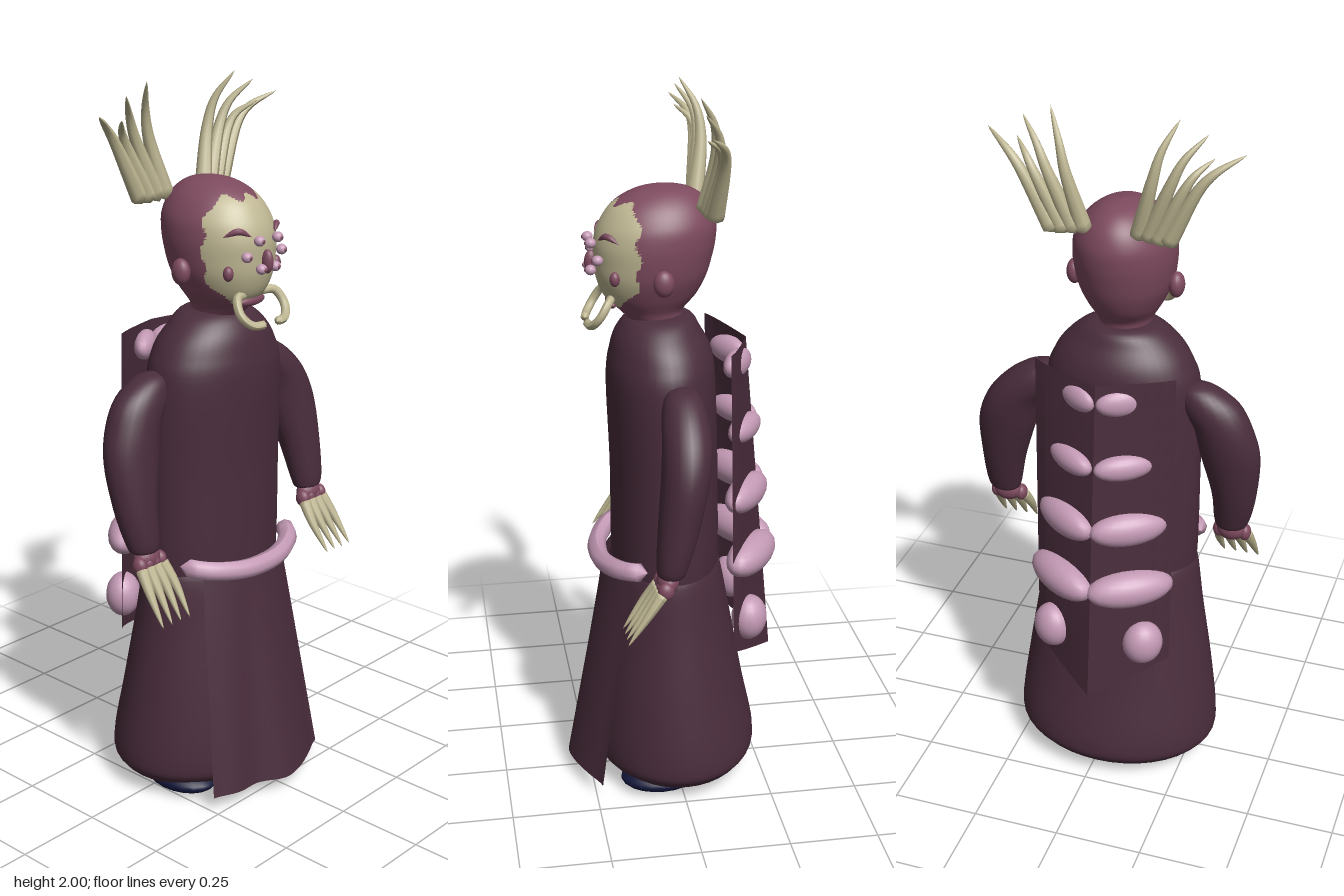
import * as THREE from 'three';
import { mergeVertices } from 'three/addons/utils/BufferGeometryUtils.js';

const mat = (name, color) => new THREE.MeshStandardMaterial({ name, color });
const V = (p) => new THREE.Vector3(...p);

export function createModel() {
  const robe = mat('darkRobe', 0x4a2d3c);
  robe.side = THREE.DoubleSide;
  const skin = mat('mauveSkin', 0x7d4a5e);
  const bone = mat('paleBone', 0xbfb793);
  const pink = mat('dustyPink', 0xc49ab5);
  const navy = mat('navyShoe', 0x12163a);

  const model = new THREE.Group();
  const figure = new THREE.Group();
  figure.name = 'figure';
  figure.position.x = -0.026;
  model.add(figure);

  const add = (name, geo, material) => {
    const mesh = new THREE.Mesh(geo, material);
    mesh.name = name;
    figure.add(mesh);
    return mesh;
  };

  // a grid whose vertices are placed by a rule of u (across) and v (down)
  const sheet = (nu, nv, rule) => {
    const g = new THREE.PlaneGeometry(1, 1, nu, nv);
    const p = g.attributes.position;
    for (let i = 0; i < p.count; i++) p.setXYZ(i, ...rule(p.getX(i) + 0.5, 0.5 - p.getY(i)));
    g.deleteAttribute('uv');
    g.deleteAttribute('normal');
    const m = mergeVertices(g, 1e-5);
    m.computeVertexNormals();
    return m;
  };

  // smooth skin over elliptical sections [y, rx, rz, cx, cz], listed top to bottom
  const loft = (rows, nu = 40, nv = 40) => {
    const a = new THREE.CatmullRomCurve3(rows.map((r) => V([r[1], r[0], r[2]])), false, 'catmullrom');
    const b = new THREE.CatmullRomCurve3(rows.map((r) => V([r[3], 0, r[4]])), false, 'catmullrom');
    return sheet(nu, nv, (u, v) => {
      const s = a.getPoint(v), c = b.getPoint(v), t = u * Math.PI * 2;
      return [c.x + Math.max(s.x, 0) * Math.sin(t), s.y, c.z + Math.max(s.z, 0) * Math.cos(t)];
    });
  };

  const ball = (name, material, pos, size, rot = [0, 0, 0]) => {
    const m = add(name, new THREE.SphereGeometry(1, 20, 14), material);
    m.position.set(...pos);
    m.scale.set(...size);
    m.rotation.set(...rot);
    return m;
  };

  // tube whose radius follows a profile along its length
  const taper = (name, material, pts, r, profile) => {
    const n = 20, k = 8, curve = new THREE.CatmullRomCurve3(pts.map(V));
    const g = new THREE.TubeGeometry(curve, n, r, k);
    const p = g.attributes.position, q = new THREE.Vector3();
    for (let i = 0; i < p.count; i++) {
      const t = Math.floor(i / (k + 1)) / n, c = curve.getPointAt(t);
      q.fromBufferAttribute(p, i).sub(c).multiplyScalar(profile(t)).add(c);
      p.setXYZ(i, q.x, q.y, q.z);
    }
    g.computeVertexNormals();
    return add(name, g, material);
  };
  const spike = (t) => (t === 0 ? 0 : Math.pow(1 - t, 0.65));
  const rounded = (t) => (t === 0 || t === 1 ? 0 : 1);

  // torso and skirt
  add('torso', loft([
    [1.395, 0, 0, 0, 0.03], [1.39, 0.09, 0.08, 0, 0.03], [1.35, 0.15, 0.115, 0, 0.035],
    [1.29, 0.195, 0.14, 0, 0.03], [1.2, 0.22, 0.15, 0, 0.03], [0.95, 0.225, 0.15, 0, 0.022],
    [0.66, 0.222, 0.15, 0, 0.02], [0.62, 0.2, 0.13, 0, 0.02]]), robe);
  add('skirt', loft([
    [0.68, 0.2, 0.13, 0, 0.02], [0.66, 0.225, 0.155, 0, 0.02], [0.5, 0.247, 0.182, 0, 0.015],
    [0.3, 0.278, 0.212, 0, 0.008], [0.12, 0.3, 0.238, 0, -0.003], [0.06, 0.285, 0.225, 0, -0.003],
    [0.03, 0.22, 0.17, 0, -0.003], [0.03, 0, 0, 0, 0]]), robe);

  // apron hanging in front with a wavy hem
  const hem = new THREE.SplineCurve([0.235, 0.265, 0.27, 0.31, 0.3, 0.27, 0.235].map((z, i) => new THREE.Vector2(i, z)));
  add('apron', sheet(24, 12, (u, v) => {
    const s = u * 2 - 1, top = 0.195 - 0.055 * s * s;
    return [s * (0.165 + 0.06 * v), 0.67 - 0.625 * v, top + (hem.getPoint(u).y - top) * v];
  }), robe);

  // belt roll
  taper('belt', pink, [[-0.215, 0.71, 0.1], [-0.17, 0.7, 0.16], [-0.08, 0.688, 0.203],
    [0, 0.685, 0.212], [0.08, 0.688, 0.203], [0.17, 0.7, 0.16], [0.215, 0.71, 0.1]], 0.027, rounded);

  // ridged back cape
  add('cape', sheet(12, 12, (u, v) => {
    const s = 1 - u * 2, a = Math.abs(s), ridge = -0.21 - 0.085 * v, edge = -0.13 - 0.02 * v;
    return [s * 0.197, 1.31 + 0.012 * a - (0.96 - 0.07 * a) * v, edge + (ridge - edge) * Math.pow(1 - a, 0.85)];
  }).toNonIndexed(), robe).geometry.computeVertexNormals();

  // rib-like lumps on the cape: [y, x, z, halfLength, halfHeight, halfDepth]
  [[1.255, 0.06, -0.175, 0.07, 0.04, 0.03], [1.07, 0.075, -0.195, 0.085, 0.038, 0.034],
    [0.88, 0.09, -0.2, 0.11, 0.05, 0.045], [0.695, 0.1, -0.215, 0.125, 0.054, 0.055],
    [0.51, 0.135, -0.205, 0.058, 0.066, 0.05]].forEach(([y, x, z, l, h, d]) => {
    for (const s of [-1, 1]) ball('capeLump', pink, [s * x, y, z], [l, h, d], [0, -s * 0.6, 0]);
  });

  // shoes
  for (const s of [-1, 1]) ball('shoe', navy, [s * 0.172, 0.035, 0.06], [0.082, 0.035, 0.115]);

  // arms, hands and claws; the left arm swings out a little further
  for (const s of [-1, 1]) {
    const e = s > 0 ? 1 : 0;
    const wrist = 0.312 + 0.06 * e;
    const arm = [
      [1.25, 0, 0, 0.22, 0.005], [1.235, 0.05, 0.04, 0.225, 0.005], [1.19, 0.085, 0.06, 0.255, 0.005],
      [1.12, 0.083, 0.066, 0.293 + 0.02 * e, 0.008], [1.03, 0.084, 0.064, 0.313 + 0.03 * e, 0.018],
      [0.9, 0.064, 0.055, 0.323 + 0.043 * e, 0.04], [0.8, 0.05, 0.042, wrist + 0.003, 0.058],
      [0.775, 0.035, 0.03, wrist, 0.06], [0.77, 0, 0, wrist, 0.06]];
    add(e ? 'leftArm' : 'rightArm', loft(arm.map(([y, rx, rz, cx, cz]) => [y, rx, rz, s * cx, cz]), 24, 32), robe);
    ball('palm', skin, [s * wrist, 0.76, 0.07], [0.042, 0.035, 0.03]);
    for (let i = 0; i < 4; i++) {
      const k = i - 1.5, x = wrist + k * 0.025;
      ball('knuckle', skin, [s * x, 0.748, 0.08], [0.018, 0.025, 0.022]);
      taper('claw', bone, [[s * x, 0.745, 0.085], [s * (x + k * 0.007), 0.69, 0.125],
        [s * (x + k * 0.009 + 0.006), 0.605, 0.185]], 0.018, spike);
    }
  }

  // head: skin and a pale face area share one surface
  const head = loft([
    [1.75, 0, 0, 0, 0.02], [1.735, 0.055, 0.075, 0, 0.022], [1.7, 0.1, 0.128, 0, 0.03],
    [1.65, 0.13, 0.157, 0, 0.037], [1.6, 0.138, 0.165, 0, 0.045], [1.55, 0.135, 0.16, 0, 0.05],
    [1.5, 0.125, 0.15, 0, 0.055], [1.45, 0.103, 0.127, 0, 0.058], [1.41, 0.08, 0.09, 0, 0.055],
    [1.37, 0.06, 0.06, 0, 0.04], [1.36, 0, 0, 0, 0.04]], 96, 96);
  const pos = head.attributes.position, idx = head.index.array, parts = [[], []];
  for (let i = 0; i < idx.length; i += 3) {
    const tri = [idx[i], idx[i + 1], idx[i + 2]];
    const mean = (get) => tri.reduce((sum, j) => sum + pos[get](j), 0) / 3;
    const x = mean('getX'), y = mean('getY'), z = mean('getZ');
    const hairline = 1.705 + 0.009 * Math.cos(x * 110);
    const side = 0.105 + 0.008 * Math.sin(y * 75) + Math.max(0, 1.5 - y) * 0.5;
    parts[y < hairline && y > 1.425 && z > side ? 1 : 0].push(...tri);
  }
  head.setIndex([...parts[0], ...parts[1]]);
  head.addGroup(0, parts[0].length, 0);
  head.addGroup(parts[0].length, parts[1].length, 1);
  add('head', head, [skin, bone]);

  // face details
  ball('nose', skin, [0, 1.543, 0.218], [0.014, 0.032, 0.018]);
  ball('mouth', skin, [0, 1.43, 0.165], [0.05, 0.015, 0.015]);
  for (const s of [-1, 1]) {
    ball('ear', skin, [s * 0.143, 1.512, 0.042], [0.022, 0.036, 0.028]);
    ball('cheekSpot', skin, [s * 0.095, 1.517, 0.166], [0.014, 0.02, 0.014]);
    for (const [x, y, z] of [[0.036, 1.603, 0.222], [0.069, 1.563, 0.208], [0.027, 1.527, 0.222]]) {
      ball('faceBead', pink, [s * x, y, z], [0.015, 0.014, 0.015]);
      ball('beadCentre', skin, [s * x, y, z + 0.012], [0.006, 0.006, 0.005]);
    }
    taper('eyebrow', skin, [[s * 0.045, 1.612, 0.203], [s * 0.075, 1.628, 0.184], [s * 0.105, 1.613, 0.155]],
      0.009, (t) => Math.sin(Math.PI * t));
    taper('tusk', bone, [[s * 0.03, 1.45, 0.165], [s * 0.075, 1.448, 0.18], [s * 0.088, 1.41, 0.205],
      [s * 0.065, 1.383, 0.225], [s * 0.02, 1.38, 0.235]], 0.012, rounded);

    // fan of head spines: [baseX, bendX, bendY, tipX, tipY]
    [[0.07, 0.115, 1.85, 0.17, 2.0], [0.095, 0.165, 1.85, 0.245, 1.97],
      [0.122, 0.2, 1.84, 0.262, 1.91], [0.15, 0.24, 1.85, 0.342, 1.928]].forEach(([bx, mx, my, tx, ty], i) => {
      taper('headSpine', bone, [[s * bx, 1.675, -0.075 - 0.005 * i], [s * mx, my, -0.1],
        [s * (mx * 0.65 + tx * 0.35), my * 0.5 + ty * 0.5, -0.09], [s * tx, ty, -0.048]], 0.025, spike);
    });
  }
  return model;
}
